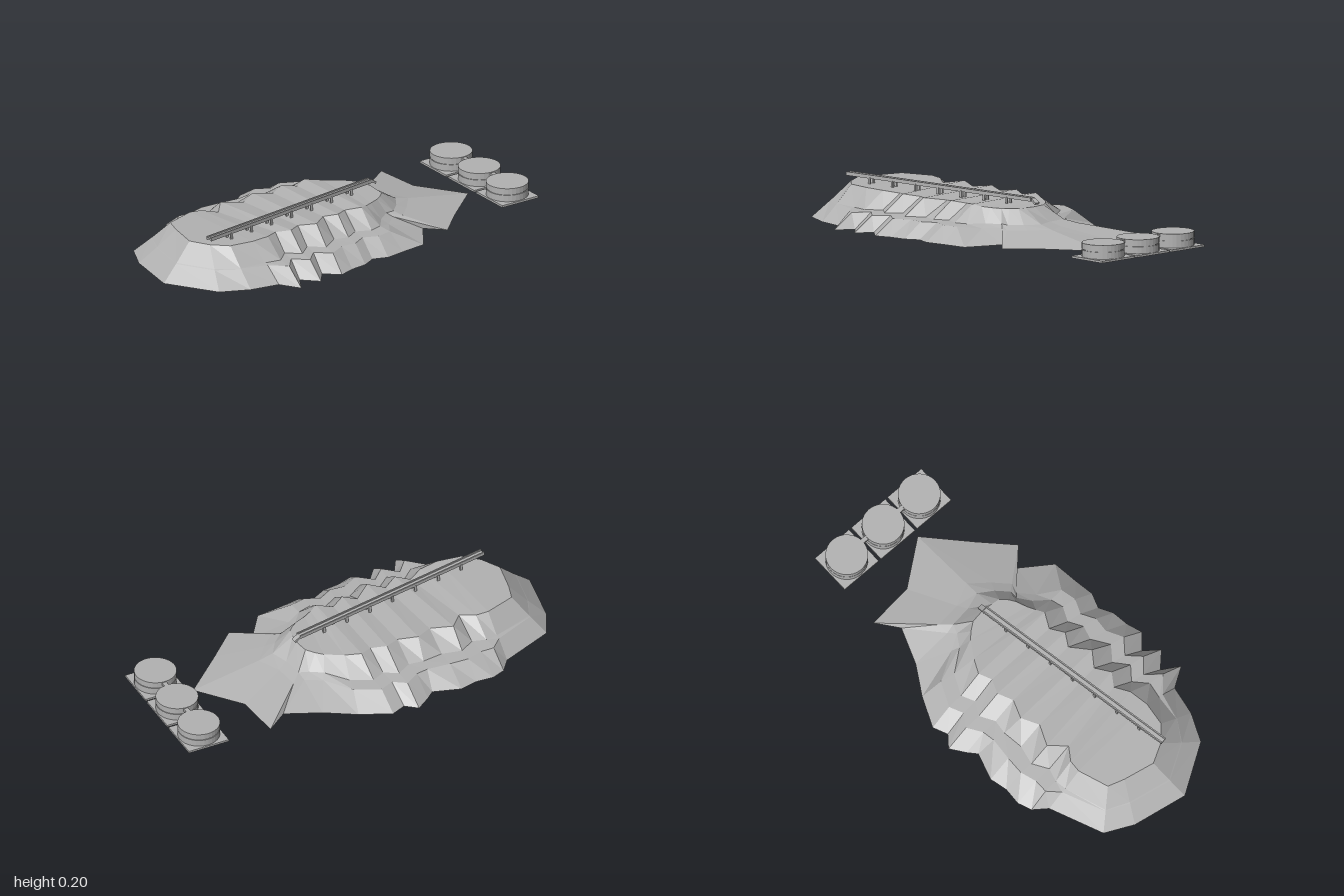
import * as THREE from 'three';

const stone = new THREE.MeshStandardMaterial({ color: 0xb2b2b2, flatShading: true, side: THREE.DoubleSide });
stone.name = 'stone grey';

// Foot and crest outlines as x, z pairs, running from the back tip along +x to the front and home along -x
const FOOT = [
  .05, -.765, .23, -.565, .365, -.425, .285, -.345, .43, -.245, .445, -.12, .46, -.025, .435, .045, .47, .11,
  .48, .19, .505, .265, .445, .335, .515, .39, .445, .46, .53, .51, .435, .57, .41, .71, .35, .845, .12, .992,
  -.145, .945, -.28, .88, -.385, .625, -.45, .575, -.475, .51, -.47, .425, -.49, .34, -.45, .21, -.485, .17,
  -.535, .1, -.49, .045, -.52, -.025, -.455, -.17, -.37, -.31, -.305, -.48, -.385, -.585, -.16, -.605];
const CREST = [
  .05, -.255, .09, -.25, .12, -.22, .14, -.19, .16, -.14, .18, -.1, .2, -.06, .165, .01, .205, .075,
  .17, .135, .24, .22, .19, .29, .235, .36, .195, .42, .235, .49, .25, .585, .235, .7, .17, .77, .08, .82,
  -.07, .79, -.15, .765, -.2, .62, -.195, .56, -.15, .495, -.225, .43, -.18, .33, -.225, .25, -.19, .16,
  -.225, .09, -.195, .02, -.225, -.04, -.19, -.11, -.14, -.19, -.11, -.22, -.07, -.25, 0, -.26];
const N = FOOT.length / 2;

// Fractions from foot to crest where the terrace starts and ends
function terrace(i) {
  const s = Math.min(i, N - i);
  if (s >= 16) return [.47, .5];
  if (s === 15) return [.43, .55];
  return s <= 4 ? [.66, .8] : [.36, .62];
}

function ringPoint(ring, i) {
  i %= N;
  const s = Math.min(i, N - i);
  const crestY = s >= 15 ? .156 : s <= 4 ? .14 : s % 2 ? .143 : .152;
  const t = [0, ...terrace(i), 1][ring];
  const y = [s > 0 && s < 4 ? .007 : 0, s <= 4 ? .058 : .071, .075, crestY][ring];
  return [
    THREE.MathUtils.lerp(FOOT[2 * i], CREST[2 * i], t), y,
    THREE.MathUtils.lerp(FOOT[2 * i + 1], CREST[2 * i + 1], t)];
}

function moundGeometry() {
  const pos = [];
  const quad = (a, b, c, d) => pos.push(...a, ...b, ...c, ...a, ...c, ...d);
  // Sloping sides and terrace
  for (let r = 0; r < 3; r++) {
    for (let i = 0; i < N; i++) {
      quad(ringPoint(r, i), ringPoint(r + 1, i), ringPoint(r + 1, i + 1), ringPoint(r, i + 1));
    }
  }
  // Top, in strips from side to side
  for (let i = 0; i < N / 2; i++) {
    quad(ringPoint(3, N - i), ringPoint(3, N - i - 1), ringPoint(3, i + 1), ringPoint(3, i));
  }
  const g = new THREE.BufferGeometry();
  g.setAttribute('position', new THREE.Float32BufferAttribute(pos, 3));
  g.computeVertexNormals();
  return g;
}

function add(parent, name, geometry, x = 0, y = 0, z = 0) {
  const m = new THREE.Mesh(geometry, stone);
  m.name = name;
  m.position.set(x, y, z);
  parent.add(m);
  return m;
}

// Long raised channel on short legs, lying diagonally over the top
function makeConveyor() {
  const group = new THREE.Group();
  group.name = 'conveyor';
  const a = new THREE.Vector3(0, .173, -.25), b = new THREE.Vector3(.178, .191, .78);
  const length = a.distanceTo(b);
  const deck = new THREE.Group();
  deck.name = 'conveyorDeck';
  deck.position.copy(a).lerp(b, .5);
  deck.lookAt(b);
  group.add(deck);
  add(deck, 'belt', new THREE.BoxGeometry(.026, .008, length), 0, -.002, 0);
  for (const s of [-1, 1]) {
    add(deck, s < 0 ? 'rightRail' : 'leftRail', new THREE.BoxGeometry(.006, .017, length), s * .0125, 0, 0);
  }
  // Drooping tail
  const tail = add(group, 'tail', new THREE.BoxGeometry(.026, .01, .035), -.003, .165, -.262);
  tail.rotation.x = -.55;
  // Leg pairs
  for (let i = 0; i < 7; i++) {
    const p = a.clone().lerp(b, .13 + i * .124);
    const bottom = .142, top = p.y - .004;
    for (const s of [-1, 1]) {
      add(group, 'leg', new THREE.BoxGeometry(.007, top - bottom, .012),
        p.x + s * .014, (top + bottom) / 2, p.z - s * .002);
    }
  }
  return group;
}

// Round tank of two drums on a square slab
function makeTank(x) {
  const group = new THREE.Group();
  group.name = 'tank';
  group.position.set(x, 0, -.895);
  add(group, 'slab', new THREE.BoxGeometry(.208, .01, .204), 0, .005, 0);
  add(group, 'lowerDrum', new THREE.CylinderGeometry(.098, .098, .032, 32), 0, .026, 0);
  add(group, 'waist', new THREE.CylinderGeometry(.094, .094, .006, 32), 0, .044, 0);
  add(group, 'upperDrum', new THREE.CylinderGeometry(.098, .098, .029, 32), 0, .06, 0);
  return group;
}

export function createModel() {
  const model = new THREE.Group();
  model.name = 'moundWithTanks';
  add(model, 'mound', moundGeometry());
  model.add(makeConveyor());
  for (const x of [-.269, -.046, .176]) model.add(makeTank(x));
  // Pipe joining the tanks
  add(model, 'pipe', new THREE.BoxGeometry(.5, .014, .022), -.046, .064, -.898);
  return model;
}
